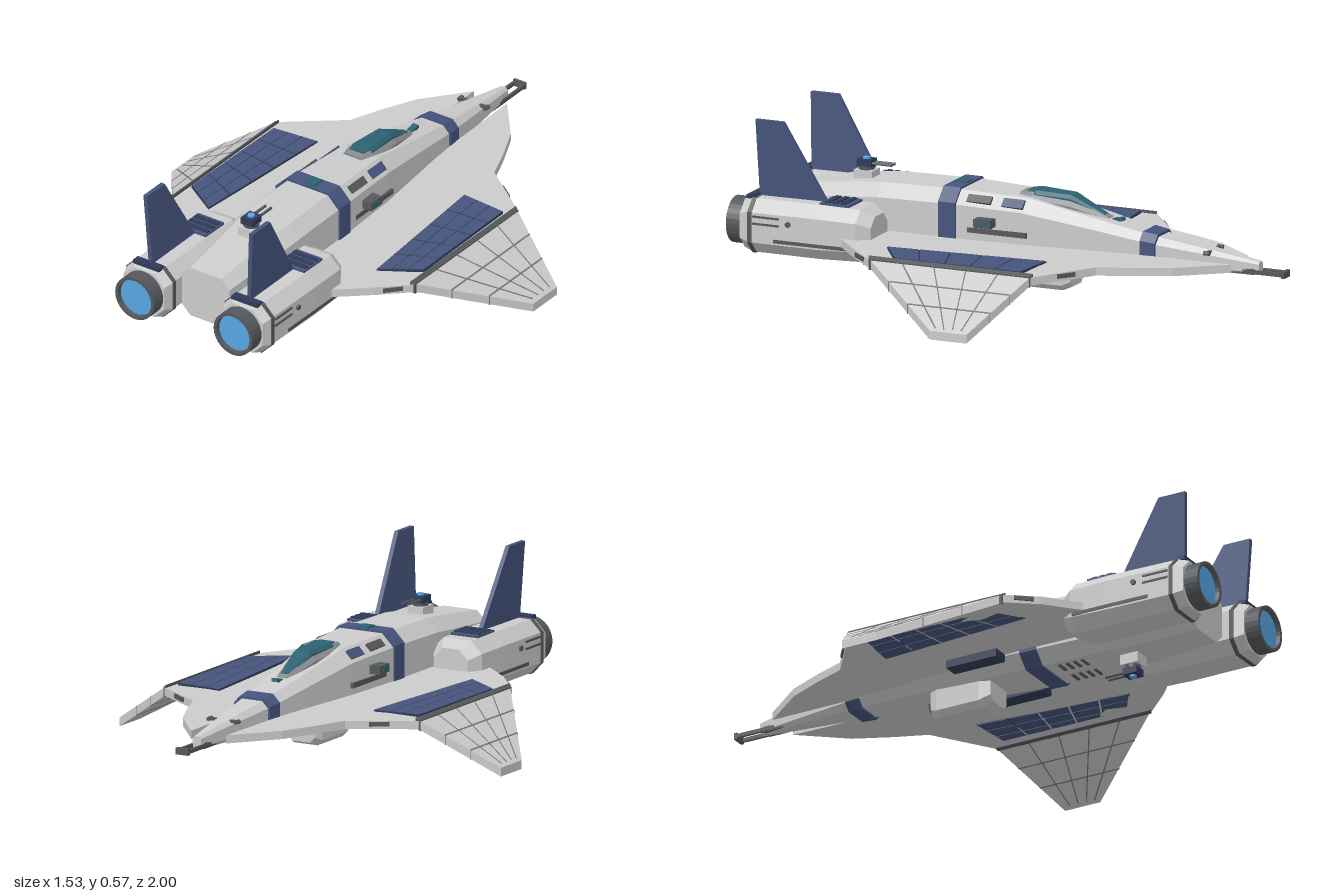
import * as THREE from 'three';

const GREY = 0xcccccc, DARK = 0x55585c, BLUE = 0x46547c, NAVY = 0x2f3a58, TEAL = 0x2c6270, GLOW = 0x55a5e2;
const mats = {};
const mat = (c) => (mats[c] ??= new THREE.MeshStandardMaterial({ color: c, flatShading: true }));

function add(parent, name, geo, color = GREY, pos = [0, 0, 0], rot = [0, 0, 0]) {
  const m = new THREE.Mesh(geo, mat(color));
  m.name = name;
  m.position.set(...pos);
  m.rotation.set(...rot);
  parent.add(m);
  return m;
}
const box = (p, name, size, pos, color, rot) => add(p, name, new THREE.BoxGeometry(...size), color, pos, rot);
// Cylinder along z
const rod = (p, name, r, len, pos, color, seg = 12) =>
  add(p, name, new THREE.CylinderGeometry(r, r, len, seg).rotateX(Math.PI / 2), color, pos);

// Chamfered hull through sections [z, halfWidth, bottom, top, chamfer]
function loft(sections) {
  const rings = sections.map(([z, w, b, t, c]) => [
    [w, b + c], [w, t - c], [w - c, t], [c - w, t], [-w, t - c], [-w, b + c], [c - w, b], [w - c, b],
  ].map(([x, y]) => [x, y, z]));
  const v = [], tri = (...p) => p.forEach((q) => v.push(...q));
  for (let i = 0; i < rings.length - 1; i++)
    for (let j = 0; j < 8; j++) {
      const k = (j + 1) % 8, A = rings[i], B = rings[i + 1];
      tri(A[j], A[k], B[k]);
      tri(A[j], B[k], B[j]);
    }
  const first = rings[0], last = rings[rings.length - 1];
  for (let j = 1; j < 7; j++) {
    tri(first[0], first[j + 1], first[j]);
    tri(last[0], last[j], last[j + 1]);
  }
  const g = new THREE.BufferGeometry();
  g.setAttribute('position', new THREE.Float32BufferAttribute(v, 3));
  g.computeVertexNormals();
  return g;
}

// Flat plate from plan points (x, z); everything beyond the hinge droops
function slab(pts, y0, y1, s) {
  const shape = new THREE.Shape(pts.map(([x, z]) => new THREE.Vector2(x * s, z)));
  const g = new THREE.ExtrudeGeometry(shape, { depth: y1 - y0, bevelEnabled: false });
  g.rotateX(Math.PI / 2).translate(0, y1, 0);
  const p = g.attributes.position;
  for (let i = 0; i < p.count; i++)
    p.setY(i, p.getY(i) - Math.max(0, Math.abs(p.getX(i)) - 0.5) * 0.63);
  g.computeVertexNormals();
  return g;
}

const mix = (a, b, t) => [a[0] + (b[0] - a[0]) * t, a[1] + (b[1] - a[1]) * t];

function buildWing(s) {
  const wing = new THREE.Group();
  wing.name = s > 0 ? 'leftWing' : 'rightWing';
  add(wing, 'innerWing', slab([[0.07, -0.82], [0.2, -0.66], [0.26, -0.53], [0.305, -0.415], [0.51, -0.265],
    [0.51, 0.355], [0.42, 0.455], [0.305, 0.555], [0.09, 0.555], [0.09, -0.3], [0.075, -0.5]], 0.167, 0.196, s));
  add(wing, 'outerWing', slab([[0.505, -0.265], [0.765, -0.14], [0.765, 0], [0.505, 0.355]], 0.166, 0.197, s));
  add(wing, 'wingHinge', slab([[0.5, -0.268], [0.515, -0.262], [0.515, 0.35], [0.5, 0.358]], 0.163, 0.201, s), DARK);

  // Tiled blue panel, showing above and below
  const q = [[0.485, -0.215], [0.31, -0.23], [0.355, 0.355], [0.49, 0.265]];
  add(wing, 'panelBacking', slab(q, 0.164, 0.199, s), NAVY);
  const at = (u, v) => mix(mix(q[0], q[1], u), mix(q[3], q[2], u), v);
  for (let i = 0; i < 3; i++)
    for (let j = 0; j < 5; j++) {
      const [u0, u1, v0, v1] = [(i + 0.03) / 3, (i + 0.97) / 3, (j + 0.03) / 5, (j + 0.97) / 5];
      add(wing, 'panelTile', slab([at(u0, v0), at(u1, v0), at(u1, v1), at(u0, v1)], 0.162, 0.201, s), BLUE);
    }

  // Seams across the drooping section
  const seam = (a, b) => {
    const d = Math.hypot(b[0] - a[0], b[1] - a[1]), nx = (a[1] - b[1]) / d * 0.002, nz = (b[0] - a[0]) / d * 0.002;
    add(wing, 'wingSeam', slab([[a[0] - nx, a[1] - nz], [b[0] - nx, b[1] - nz], [b[0] + nx, b[1] + nz],
      [a[0] + nx, a[1] + nz]], 0.1645, 0.1985, s), 0x77797c);
  };
  const lead = (t) => mix([0.515, -0.26], [0.765, -0.14], t), trail = (t) => mix([0.515, 0.342], [0.765, 0], t);
  for (const t of [0.3, 0.62]) seam(lead(t), trail(t));
  for (const t of [0.2, 0.4, 0.6, 0.8]) seam(mix(lead(0), trail(0), t), mix(lead(0.95), trail(0.95), t));

  // Edge vents and underside bays
  box(wing, 'trailingVent', [0.07, 0.015, 0.012], [s * 0.462, 0.182, 0.408], DARK, [0, s * 0.84, 0]);
  box(wing, 'leadingVent', [0.07, 0.015, 0.012], [s * 0.4, 0.182, -0.346], DARK, [0, -s * 0.63, 0]);
  box(wing, 'undersideBay', [0.06, 0.04, 0.2], [s * 0.16, 0.158, 0.04], NAVY);
  return wing;
}

function buildEngine(s) {
  const e = new THREE.Group();
  e.name = s > 0 ? 'leftEngine' : 'rightEngine';
  e.position.x = s * 0.208;
  add(e, 'engineBody', loft([[0.455, 0.068, 0.135, 0.27, 0.035], [0.5, 0.098, 0.11, 0.295, 0.042],
    [0.65, 0.1, 0.105, 0.297, 0.042], [0.91, 0.097, 0.105, 0.295, 0.042], [0.945, 0.086, 0.115, 0.285, 0.042]]));
  add(e, 'engineCollar', loft([[0.895, 0.1, 0.102, 0.298, 0.043], [0.91, 0.1, 0.102, 0.298, 0.043]]), DARK);
  // Nozzle bell with glowing disc
  const ring = [[0.06, 0.93], [0.082, 0.93], [0.082, 1], [0.07, 1], [0.066, 0.96]].map((p) => new THREE.Vector2(...p));
  const nozzle = add(e, 'nozzle', new THREE.LatheGeometry(ring, 28).rotateX(Math.PI / 2), DARK, [0, 0.2, 0]);
  nozzle.material = mat(DARK).clone();
  nozzle.material.side = THREE.DoubleSide;
  add(e, 'exhaustGlow', new THREE.CircleGeometry(0.069, 28), GLOW, [0, 0.2, 0.985]);
  // Deck plates
  box(e, 'finBase', [0.11, 0.014, 0.03], [0, 0.298, 0.918], NAVY);
  box(e, 'deckPanel', [0.11, 0.012, 0.11], [0, 0.298, 0.6], BLUE);
  for (const z of [0.57, 0.6, 0.63]) box(e, 'deckSlat', [0.1, 0.006, 0.018], [0, 0.306, z], NAVY);
  // Tail fin, leaning slightly outward
  const fin = new THREE.Shape([[0.65, 0.295], [0.81, 0.565], [0.915, 0.565], [0.905, 0.295]].map((p) => new THREE.Vector2(...p)));
  const g = new THREE.ExtrudeGeometry(fin, { depth: 0.016, bevelEnabled: false });
  g.rotateY(-Math.PI / 2).translate(0.008, 0, 0);
  const p = g.attributes.position;
  for (let i = 0; i < p.count; i++) p.setX(i, p.getX(i) + s * (p.getY(i) - 0.29) * 0.055);
  g.computeVertexNormals();
  add(e, 'tailFin', g, BLUE);
  // Side stripes and thruster ports
  for (const y of [0.215, 0.24]) box(e, 'sideStripe', [0.01, 0.007, 0.1], [s * 0.097, y, 0.84], DARK);
  add(e, 'sidePort', new THREE.CylinderGeometry(0.01, 0.01, 0.012, 10).rotateZ(Math.PI / 2), DARK, [s * 0.1, 0.225, 0.755]);
  box(e, 'lowerRail', [0.008, 0.012, 0.3], [s * 0.098, 0.16, 0.66], DARK);
  return e;
}

// Twin-barrelled turret; dir is +1 above the hull and -1 below
function buildTurret(name, y, z, dir) {
  const t = new THREE.Group();
  t.name = name;
  t.position.set(0, y, z);
  box(t, 'turretPedestal', [0.062, 0.045, 0.07], [0, dir * 0.01, 0]);
  add(t, 'turretCollar', new THREE.CylinderGeometry(0.028, 0.028, 0.02, 12), DARK, [0, dir * 0.036, 0]);
  box(t, 'turretHead', [0.05, 0.025, 0.055], [0, dir * 0.056, 0], NAVY);
  add(t, 'turretLens', new THREE.CylinderGeometry(0.013, 0.013, 0.012, 12), GLOW, [0, dir * 0.069, 0]);
  for (const s of [-1, 1]) rod(t, 'turretBarrel', 0.005, 0.085, [s * 0.012, dir * 0.056, -0.06], DARK, 8);
  return t;
}

export function createModel() {
  const ship = new THREE.Group();
  ship.name = 'starfighter';

  // Hull, wrapped by two blue bands
  add(ship, 'fuselage', loft([[-0.9, 0.017, 0.155, 0.2, 0.008], [-0.5, 0.068, 0.145, 0.262, 0.025],
    [-0.3, 0.092, 0.135, 0.302, 0.032], [-0.05, 0.118, 0.125, 0.352, 0.045], [0.2, 0.13, 0.115, 0.36, 0.045],
    [0.5, 0.13, 0.11, 0.355, 0.045], [0.6, 0.124, 0.11, 0.345, 0.045], [0.87, 0.1, 0.12, 0.31, 0.035]]));
  add(ship, 'noseBand', loft([[-0.53, 0.073, 0.138, 0.266, 0.026], [-0.475, 0.079, 0.136, 0.274, 0.028]]), BLUE);
  add(ship, 'midBand', loft([[0.2, 0.135, 0.109, 0.367, 0.046], [0.265, 0.136, 0.108, 0.367, 0.046]]), BLUE);
  box(ship, 'bandLight', [0.045, 0.01, 0.05], [0, 0.367, 0.232], TEAL);

  // Cockpit
  add(ship, 'canopyFrame', loft([[-0.33, 0.024, 0.27, 0.299, 0.006], [-0.19, 0.052, 0.28, 0.358, 0.025],
    [-0.05, 0.06, 0.3, 0.366, 0.022], [0, 0.05, 0.3, 0.362, 0.02]]), 0x8a8d90);
  add(ship, 'canopyGlass', loft([[-0.312, 0.017, 0.28, 0.309, 0.004], [-0.19, 0.037, 0.3, 0.367, 0.012],
    [-0.06, 0.045, 0.31, 0.372, 0.012], [-0.025, 0.037, 0.31, 0.369, 0.012]]), TEAL);
  box(ship, 'noseSensor', [0.024, 0.012, 0.05], [0, 0.292, -0.355], TEAL, [0.2, 0, 0]);

  // Forked nose probe
  for (const s of [-1, 1]) {
    box(ship, 'probeProng', [0.009, 0.014, 0.19], [s * 0.02, 0.165, -0.9], DARK);
    rod(ship, 'noseThruster', 0.008, 0.022, [s * 0.055, 0.222, -0.72], DARK, 8);
    box(ship, 'thrusterMount', [0.03, 0.01, 0.012], [s * 0.042, 0.222, -0.72], DARK);
  }
  box(ship, 'probeTip', [0.05, 0.024, 0.012], [0, 0.165, -0.994], DARK);
  box(ship, 'probeRoot', [0.045, 0.02, 0.08], [0, 0.165, -0.845], DARK);

  // Hull side fittings
  for (const s of [-1, 1]) {
    const tilt = [0, 0, -s * Math.PI / 4];
    box(ship, 'shoulderVent', [0.03, 0.01, 0.09], [s * 0.106, 0.336, 0.12], DARK, tilt);
    box(ship, 'shoulderPanel', [0.035, 0.01, 0.08], [s * 0.099, 0.332, -0.005], BLUE, tilt);
    box(ship, 'sidePod', [0.045, 0.03, 0.065], [s * 0.142, 0.265, 0.085], DARK);
    box(ship, 'sidePodLight', [0.004, 0.016, 0.03], [s * 0.166, 0.265, 0.085], TEAL);
    box(ship, 'sideRail', [0.012, 0.018, 0.23], [s * 0.122, 0.23, 0.05], DARK);
    for (let i = 0; i < 4; i++) box(ship, 'bellyVent', [0.05, 0.006, 0.01], [s * 0.045, 0.11, 0.32 + i * 0.03], DARK);
  }

  // Belly sensor pod
  add(ship, 'bellyPod', loft([[-0.2, 0.055, 0.045, 0.15, 0.02], [-0.17, 0.068, 0.032, 0.15, 0.02],
    [0.0, 0.068, 0.032, 0.15, 0.02], [0.04, 0.055, 0.05, 0.15, 0.02]]));
  rod(ship, 'sensorHousing', 0.028, 0.03, [0, 0.105, -0.21], DARK, 16);
  add(ship, 'sensorEye', new THREE.SphereGeometry(0.02, 16, 10), GREY, [0, 0.105, -0.22]);

  ship.add(buildTurret('topTurret', 0.34, 0.6, 1), buildTurret('bottomTurret', 0.105, 0.575, -1));
  for (const s of [-1, 1]) ship.add(buildWing(s), buildEngine(s));
  return ship;
}
